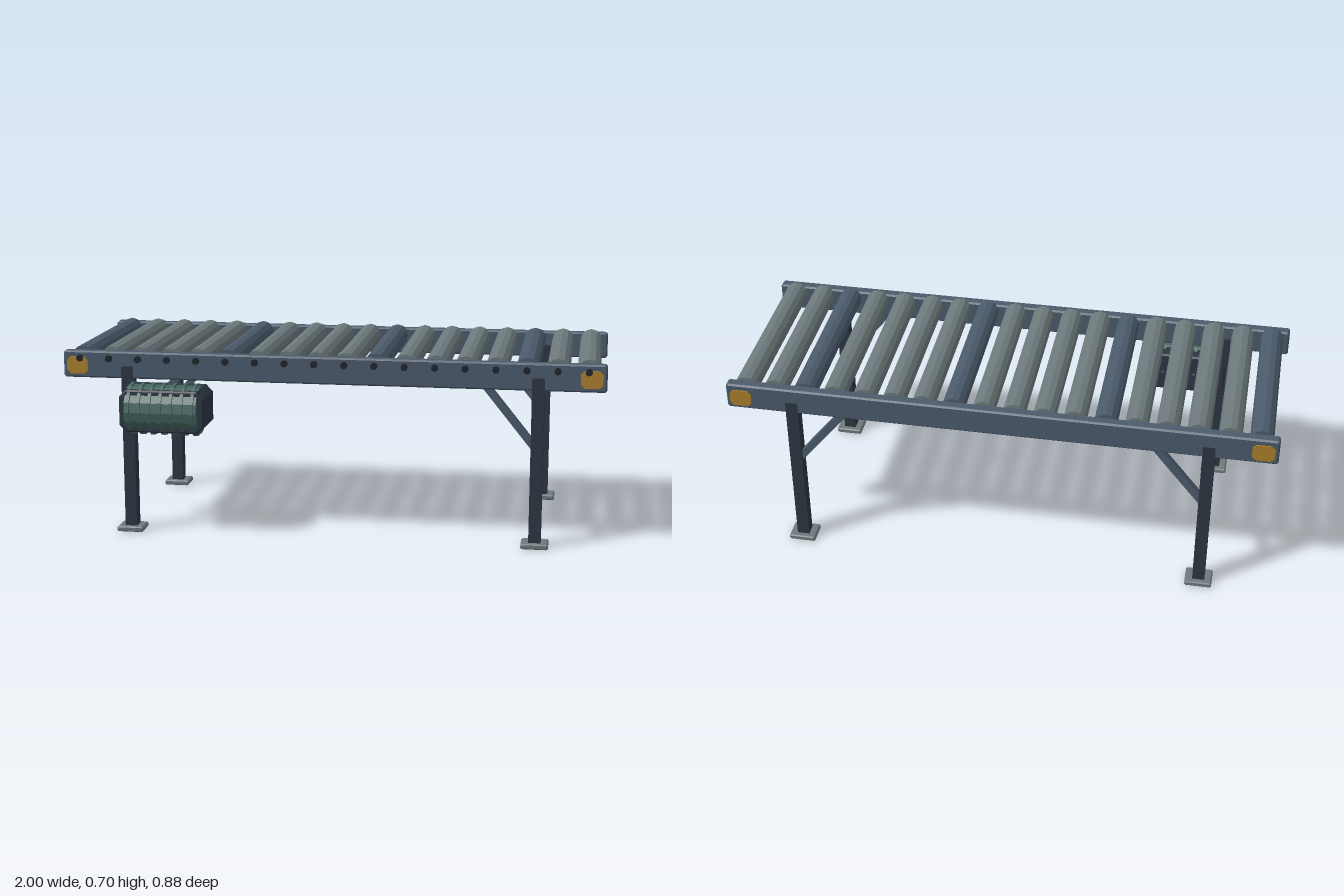
import * as THREE from 'three';

const mat = (name, color) => {
  const m = new THREE.MeshStandardMaterial({ color });
  m.name = name;
  return m;
};

// Block with chamfered corners in x/y and a small bevel on its z faces
function chamferBlock(w, h, d, c, bevel) {
  const x = w / 2 - bevel, y = h / 2 - bevel;
  const shape = new THREE.Shape([
    [-x + c, -y], [x - c, -y], [x, -y + c], [x, y - c],
    [x - c, y], [-x + c, y], [-x, y - c], [-x, -y + c],
  ].map(([a, b]) => new THREE.Vector2(a, b)));
  const g = new THREE.ExtrudeGeometry(shape, {
    depth: d - 2 * bevel, bevelEnabled: bevel > 0,
    bevelSize: bevel, bevelThickness: bevel, bevelSegments: 1,
  });
  return g.translate(0, 0, -d / 2 + bevel);
}

// Faceted cylinder along 'x' or 'z'
function facetedCylinder(radius, length, sides, axis) {
  const g = new THREE.CylinderGeometry(radius, radius, length, sides).toNonIndexed();
  g.computeVertexNormals();
  return axis === 'x' ? g.rotateZ(Math.PI / 2) : g.rotateX(Math.PI / 2);
}

export function createModel() {
  const group = new THREE.Group();
  group.name = 'rollerConveyor';

  const frameBlue = mat('frameBlue', 0x4b5a6b);
  const rollerGrey = mat('rollerGrey', 0x6c797b);
  const darkSteel = mat('darkSteel', 0x2e3643);
  const motorGreen = mat('motorGreen', 0x45645f);
  const markerYellow = mat('markerYellow', 0xab7f2c);
  const boltBlack = mat('boltBlack', 0x1f242c);

  const add = (name, geometry, material, x, y, z) => {
    const mesh = new THREE.Mesh(geometry, material);
    mesh.name = name;
    mesh.position.set(x, y, z);
    group.add(mesh);
    return mesh;
  };

  const midZ = -0.045;   // centre line of the roller bed
  const railOff = 0.35;  // rail distance from the centre line

  // Rollers, every fifth one blue, each with a bolt on the front rail
  const rollerGeo = facetedCylinder(0.042, 0.67, 12, 'z');
  const boltGeo = facetedCylinder(0.013, 0.018, 8, 'z');
  for (let i = 0; i < 18; i++) {
    const x = -0.935 + i * 0.11;
    add('roller', rollerGeo, i % 5 ? rollerGrey : frameBlue, x, 0.656, midZ);
    add('axleBolt', boltGeo, boltBlack, x, 0.658, 0.328);
  }

  // Side rails, end markers, legs, feet and braces
  const railGeo = chamferBlock(2, 0.1, 0.041, 0.004, 0.006);
  const markerGeo = chamferBlock(0.08, 0.064, 0.006, 0.014, 0);
  const legGeo = new THREE.BoxGeometry(0.045, 0.615, 0.044);
  const footGeo = chamferBlock(0.1, 0.02, 0.085, 0.003, 0.004);
  const braceStart = new THREE.Vector2(0.755, 0.365);
  const braceEnd = new THREE.Vector2(0.557, 0.61);
  const braceDir = braceEnd.clone().sub(braceStart);
  const braceGeo = new THREE.BoxGeometry(braceDir.length(), 0.027, 0.025);

  for (const side of [1, -1]) {
    const z = midZ + side * railOff;
    add('sideRail', railGeo, frameBlue, 0, 0.634, z);
    for (const end of [1, -1]) {
      add('endMarker', markerGeo, markerYellow, end * 0.946, 0.631, z + side * 0.0225);
      add('leg', legGeo, darkSteel, end * 0.757, 0.3225, z);
      add('foot', footGeo, rollerGrey, end * 0.757, 0.01, z);
      const brace = add('legBrace', braceGeo, frameBlue,
        end * (braceStart.x + braceEnd.x) / 2, (braceStart.y + braceEnd.y) / 2, z);
      brace.rotation.z = end * Math.atan2(braceDir.y, braceDir.x);
    }
  }

  // Drive motor: housing, barrel and cooling fins
  const motorX = -0.61, motorY = 0.479, motorZ = 0.342;
  add('motorHousing', chamferBlock(0.318, 0.158, 0.163, 0.022, 0.006), darkSteel,
    motorX, motorY, 0.3265);
  add('motorBarrel', facetedCylinder(0.09, 0.27, 16, 'x'), motorGreen, motorX, motorY, motorZ);
  const finGeo = facetedCylinder(0.098, 0.012, 16, 'x');
  for (let i = -3; i <= 3; i++) {
    add('coolingFin', finGeo, motorGreen, motorX + i * 0.04, motorY, motorZ);
  }

  return group;
}
